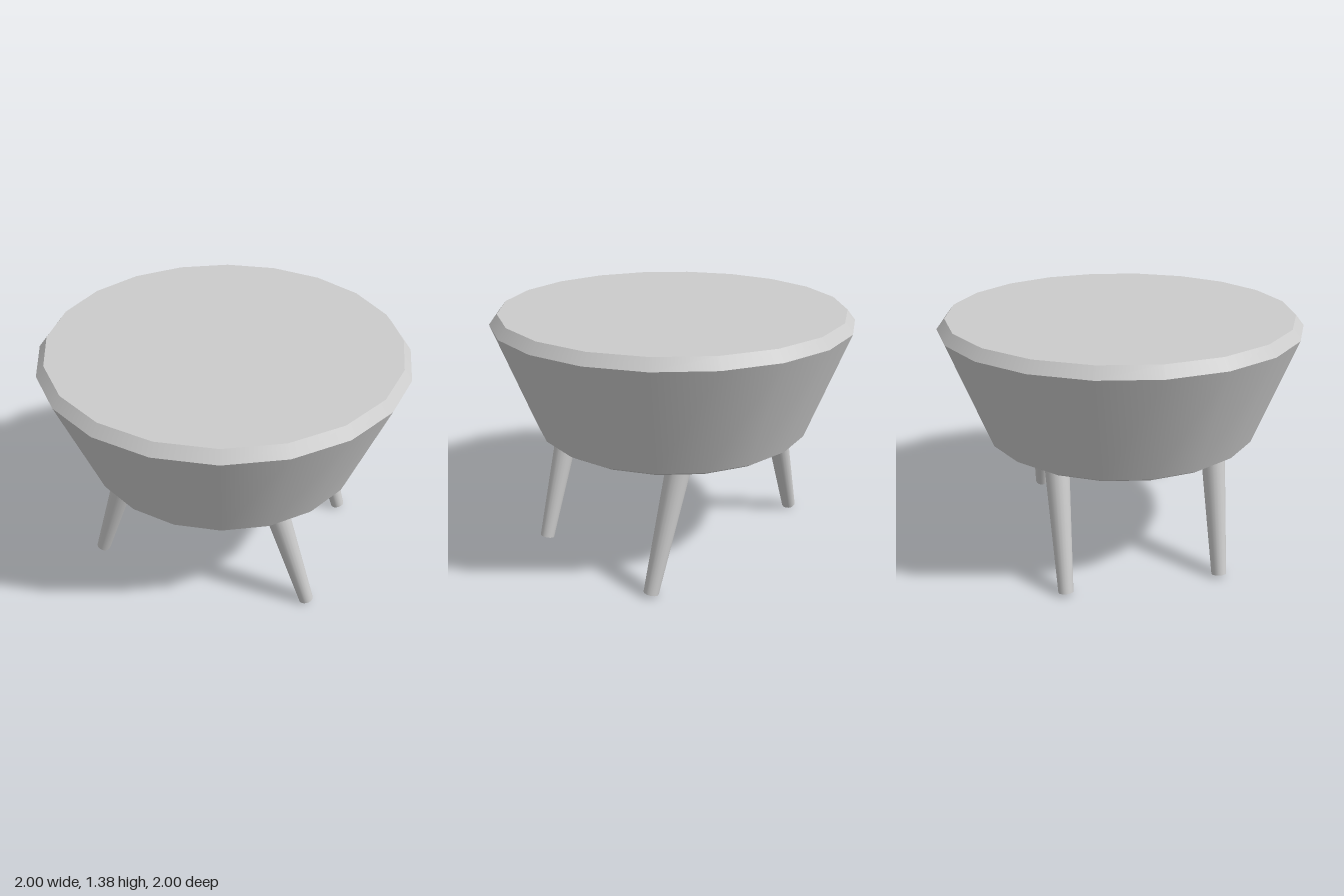
import * as THREE from 'three';

const material = new THREE.MeshStandardMaterial({ color: 0xcccccc });

// Smooth-sided ring of the 20-sided seat between two heights
function band(name, rTop, yTop, rBottom, yBottom) {
  const geometry = new THREE.CylinderGeometry(rTop, rBottom, yTop - yBottom, 20, 1, true);
  geometry.translate(0, (yTop + yBottom) / 2, 0);
  const mesh = new THREE.Mesh(geometry, material);
  mesh.name = name;
  return mesh;
}

function disc(name, radius, y, up) {
  const geometry = new THREE.CircleGeometry(radius, 20);
  geometry.rotateX(up ? -Math.PI / 2 : Math.PI / 2);
  geometry.translate(0, y, 0);
  const mesh = new THREE.Mesh(geometry, material);
  mesh.name = name;
  return mesh;
}

// Tapered leg, splayed sideways only
function leg(name, sx, sz) {
  const top = new THREE.Vector3(sx * 0.418, 0.72, sz * 0.43);
  const foot = new THREE.Vector3(sx * 0.65, 0.0125, sz * 0.43);
  const axis = top.clone().sub(foot);
  const mesh = new THREE.Mesh(new THREE.CylinderGeometry(0.068, 0.041, axis.length(), 20), material);
  mesh.position.copy(top).add(foot).multiplyScalar(0.5);
  mesh.quaternion.setFromUnitVectors(new THREE.Vector3(0, 1, 0), axis.normalize());
  mesh.name = name;
  return mesh;
}

export function createModel() {
  const stool = new THREE.Group();
  stool.name = 'footstool';

  // Padded seat with bevelled rims
  const seat = new THREE.Group();
  seat.name = 'seat';
  seat.add(
    disc('seatTop', 0.955, 1.375, true),
    band('topBevel', 0.955, 1.375, 1, 1.32),
    band('seatSide', 1, 1.32, 0.785, 0.72),
    band('bottomBevel', 0.785, 0.72, 0.755, 0.7),
    disc('seatBottom', 0.755, 0.7, false)
  );
  stool.add(seat);

  // Four legs
  for (const [side, sx] of [['Left', 1], ['Right', -1]])
    for (const [end, sz] of [['front', 1], ['back', -1]])
      stool.add(leg(`${end}${side}Leg`, sx, sz));

  return stool;
}
